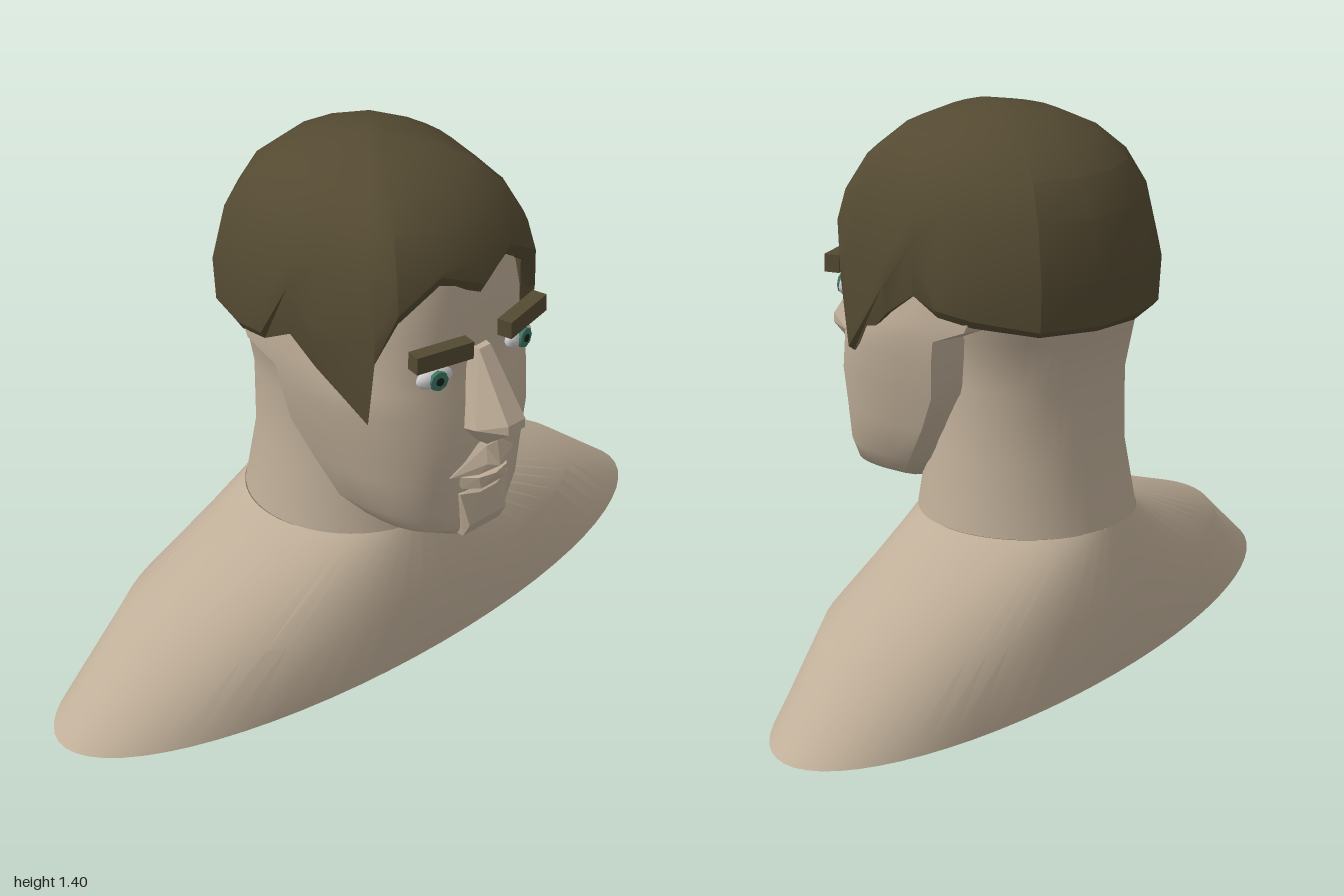
import * as THREE from 'three';
import { toCreasedNormals } from 'three/addons/utils/BufferGeometryUtils.js';
import { ConvexGeometry } from 'three/addons/geometries/ConvexGeometry.js';

const mat = (color) => new THREE.MeshStandardMaterial({ color, side: THREE.DoubleSide });
const SKIN = mat(0xbfae98), HAIR = mat(0x544a32), WHITE = mat(0xcccccc);
const IRIS = mat(0x3f7562), PUPIL = mat(0x15201c);

// Skin a stack of equal-length rows of points, bottom to top
function loft(rows, crease) {
  const n = rows[0].length, index = [];
  for (let i = 0; i < rows.length - 1; i++) {
    for (let j = 0; j < n - 1; j++) {
      const a = i * n + j, d = a + n;
      index.push(a, a + 1, d + 1, a, d + 1, d);
    }
  }
  const g = new THREE.BufferGeometry();
  g.setAttribute('position', new THREE.Float32BufferAttribute(rows.flat(2), 3));
  g.setIndex(index);
  return toCreasedNormals(g, crease);
}

// Elliptical ring: height, half width, front z, back z
function ring([y, rx, front, back], n = 48) {
  return Array.from({ length: n + 1 }, (_, j) => {
    const a = (j / n) * Math.PI * 2;
    return [rx * Math.sin(a), y, (front + back) / 2 + ((front - back) / 2) * Math.cos(a)];
  });
}

// Low-poly hull from points given for the +x half
function hull(points) {
  const all = points.flatMap(([x, y, z]) => (x ? [[x, y, z], [-x, y, z]] : [[x, y, z]]));
  return new ConvexGeometry(all.map((p) => new THREE.Vector3(...p)));
}

// Squarish half-oval with the jaw edge turned in toward the neck
function faceRow([y, front, w, edge]) {
  const n = 10, half = [];
  for (let k = 0; k <= n; k++) {
    const a = (k / n) * Math.PI / 2;
    half.push([w * Math.sin(a) ** 0.74, y, edge + (front - edge) * Math.max(0, Math.cos(a)) ** 0.74]);
  }
  half.push([w * 0.78, y + 0.01, edge - 0.06]);
  return [...half.slice(1).reverse().map(([x, yy, z]) => [-x, yy, z]), ...half];
}

// Hair columns from forehead to nape: x, z, outer edge y, inner edge y
const COLUMNS = [
  [0, 0.365, 1.115, 1.09], [0.13, 0.35, 1.17, 1.14], [0.25, 0.305, 1.10, 1.07],
  [0.285, 0.255, 0.97, 0.96], [0.29, 0.235, 0.79, 0.78], [0.335, 0.09, 0.98, 0.91],
  [0.352, 0.005, 1.10, 0.97], [0.354, -0.08, 0.95, 0.93], [0.342, -0.18, 0.935, 0.915],
  [0.275, -0.34, 0.915, 0.90], [0.14, -0.43, 0.915, 0.90], [0, -0.457, 0.92, 0.90],
];
// Dome profile: height, shrink factor
const DOME = [[0.78, 0.98], [0.91, 0.975], [1.0, 1], [1.06, 0.985], [1.18, 0.91], [1.27, 0.78],
  [1.335, 0.59], [1.378, 0.35], [1.4, 0.06], [1.401, 0]];

function domeScale(y) {
  const i = Math.max(1, DOME.findIndex((d) => d[0] >= y));
  const [y0, s0] = DOME[i - 1], [y1, s1] = DOME[i];
  return s0 + (s1 - s0) * (y - y0) / (y1 - y0);
}

function hairGeometry() {
  const mirrored = COLUMNS.slice(1, -1).reverse().map(([x, ...r]) => [-x, ...r]);
  const cols = [...COLUMNS, ...mirrored, COLUMNS[0]];
  const place = ([x, z], y, s) => [x * s, y, -0.04 + (z + 0.04) * s];
  const rows = [
    cols.map((c) => place(c, c[3], domeScale(c[2]) * 0.91)),
    cols.map((c) => place(c, c[3], domeScale(c[2]) * 0.965)),
    cols.map((c) => place(c, c[2], domeScale(c[2]))),
  ];
  for (const level of [1.03, ...DOME.slice(4).map((d) => d[0])]) {
    rows.push(cols.map((c) => {
      const y = Math.max(level, c[2]);
      return place(c, y, domeScale(y));
    }));
  }
  return loft(rows, 0.42);
}

export function createModel() {
  const model = new THREE.Group();
  const add = (name, geometry, material, parent = model) => {
    const mesh = new THREE.Mesh(geometry, material);
    mesh.name = name;
    parent.add(mesh);
    return mesh;
  };

  // Open-bottomed shoulders and flared neck
  add('shoulders', loft([
    [0, 1, 0.22, -0.46], [0.185, 0.76, 0.22, -0.46], [0.36, 0.28, 0.15, -0.4],
  ].map((r) => ring(r, 64)), 0.7), SKIN);
  add('neck', loft([
    [0.36, 0, -0.12, -0.12], [0.36, 0.278, 0.158, -0.4], [0.54, 0.25, 0.13, -0.368],
    [0.73, 0.248, 0.1, -0.365], [0.86, 0.265, 0.1, -0.39], [0.92, 0.3, 0.1, -0.415],
    [1.0, 0.31, 0.1, -0.42],
  ].map((r) => ring(r)), 0.7), SKIN);

  // Face shell: height, front z, half width, jaw edge z
  add('face', loft([
    [0.405, 0.2, 0.02, 0.16], [0.412, 0.335, 0.11, 0.15], [0.445, 0.348, 0.19, 0.125],
    [0.5, 0.352, 0.238, 0.08], [0.6, 0.358, 0.268, 0.02], [0.7, 0.365, 0.297, -0.03],
    [0.8, 0.348, 0.318, -0.045], [0.86, 0.335, 0.325, -0.055], [0.9, 0.328, 0.329, -0.15],
    [1.0, 0.335, 0.326, -0.2], [1.16, 0.32, 0.29, -0.2],
  ].map(faceRow), 0.6), SKIN);

  add('nose', hull([
    [0.03, 0.945, 0.31], [0.02, 0.945, 0.35], [0.03, 0.775, 0.462], [0.03, 0.75, 0.462],
    [0.072, 0.75, 0.39], [0.075, 0.74, 0.33], [0.035, 0.7, 0.396], [0.04, 0.7, 0.34],
  ]), SKIN);

  // Mouth and chin
  add('upperLip', hull([
    [0.115, 0.612, 0.348], [0.11, 0.62, 0.32], [0.03, 0.638, 0.395], [0, 0.628, 0.41],
    [0.05, 0.612, 0.385], [0, 0.608, 0.37], [0.035, 0.69, 0.355], [0.02, 0.68, 0.38],
  ]), SKIN);
  add('lowerLip', hull([
    [0.095, 0.602, 0.34], [0.05, 0.602, 0.385], [0, 0.6, 0.395], [0.045, 0.57, 0.388],
    [0.08, 0.57, 0.355], [0.05, 0.552, 0.34],
  ]), SKIN);
  add('chin', hull([
    [0.09, 0.558, 0.33], [0.085, 0.555, 0.355], [0.03, 0.545, 0.37], [0.065, 0.46, 0.37],
    [0.065, 0.42, 0.348], [0.06, 0.415, 0.28], [0.08, 0.5, 0.3],
  ]), SKIN);

  // Eyes and brows on both sides
  for (const [side, s] of [['left', 1], ['right', -1]]) {
    const eye = new THREE.Group();
    eye.name = side + 'Eye';
    eye.position.set(s * 0.148, 0.906, 0.322);
    eye.rotation.y = s * 0.2;
    model.add(eye);
    add('eyeWhite', new THREE.SphereGeometry(1, 12, 8).scale(0.053, 0.028, 0.022), WHITE, eye);
    const disc = (r, z) => new THREE.CylinderGeometry(r, r, 0.012, 8).rotateX(Math.PI / 2).translate(0, 0, z);
    add('iris', disc(0.026, 0.019), IRIS, eye);
    add('pupil', disc(0.011, 0.022), PUPIL, eye);

    const brow = add(side + 'Brow', new THREE.BoxGeometry(0.165, 0.046, 0.04), HAIR);
    brow.position.set(s * 0.143, 0.974, 0.34);
    brow.rotation.set(0, s * 0.2, s * 0.03);
  }

  add('hair', hairGeometry(), HAIR);
  return model;
}
